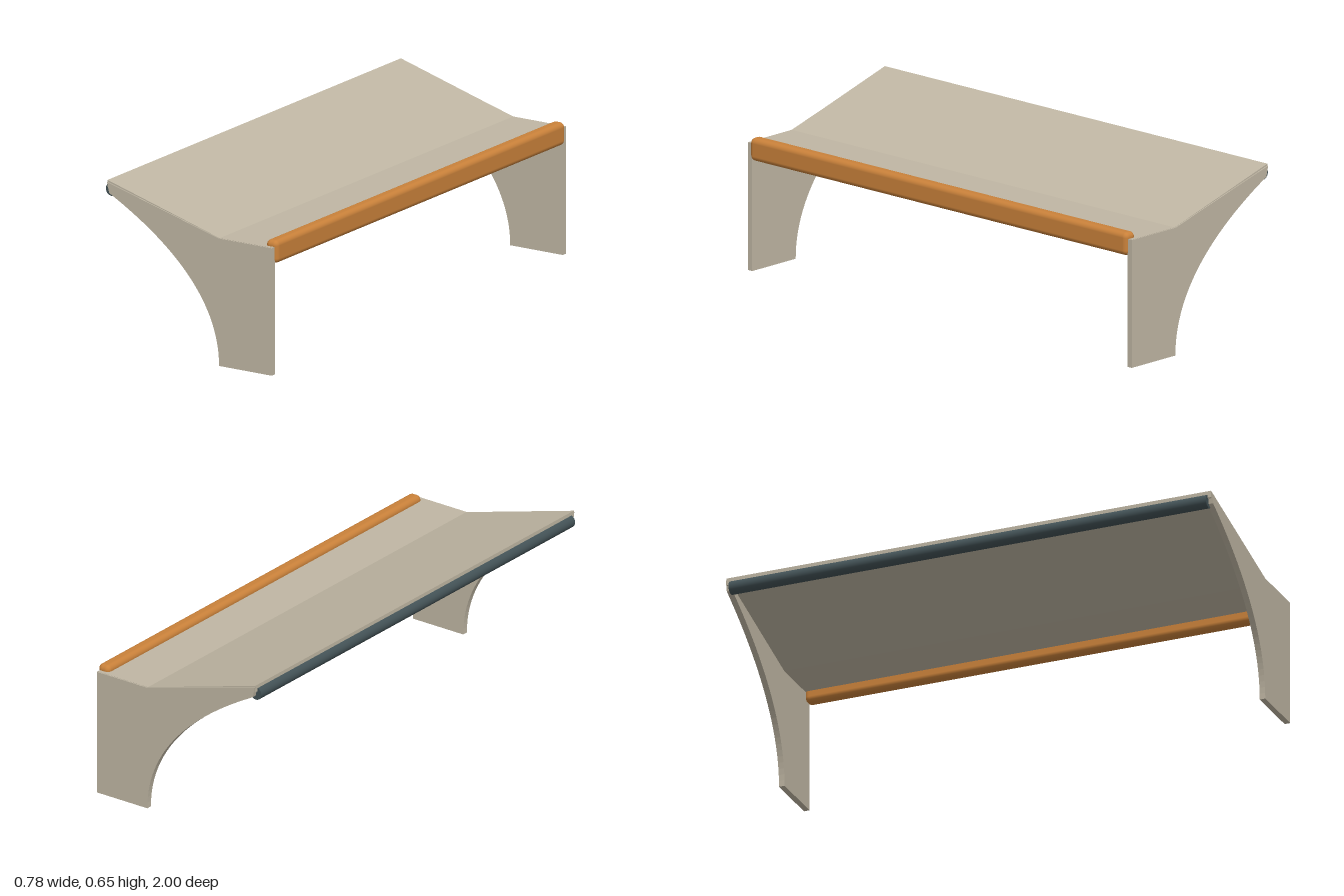
import * as THREE from 'three';
import { RoundedBoxGeometry } from 'three/addons/geometries/RoundedBoxGeometry.js';

const material = (color) => new THREE.MeshStandardMaterial({ color });

// Extrudes an x-y outline along z, from z to z + depth
function extrude(shape, z, depth) {
  const geometry = new THREE.ExtrudeGeometry(shape, { depth, bevelEnabled: false, curveSegments: 28 });
  return geometry.translate(0, 0, z);
}

export function createModel() {
  const group = new THREE.Group();
  const beige = material(0xbfb6a3);
  const add = (name, geometry, mat) => {
    const mesh = new THREE.Mesh(geometry, mat);
    mesh.name = name;
    group.add(mesh);
  };

  // End panels with an arched rear edge
  const panel = new THREE.Shape();
  panel.moveTo(0.137, 0);
  panel.lineTo(0.376, 0);
  panel.lineTo(0.376, 0.501);
  panel.lineTo(0.137, 0.501);
  panel.lineTo(-0.373, 0.642);
  panel.lineTo(-0.363, 0.6);
  panel.quadraticCurveTo(0.137, 0.335, 0.137, 0);
  add('leftEndPanel', extrude(panel, 0.977, 0.023), beige);
  add('rightEndPanel', extrude(panel, -1, 0.023), beige);

  // Bent top: level front strip and rising rear slope
  const top = new THREE.Shape([
    [0.376, 0.502], [0.137, 0.502], [-0.373, 0.649],
    [-0.373, 0.622], [0.134, 0.477], [0.376, 0.477],
  ].map(([x, y]) => new THREE.Vector2(x, y)));
  add('benchTop', extrude(top, -0.996, 1.992), beige);

  // Rounded front edge rail
  const rail = new RoundedBoxGeometry(0.054, 0.09, 1.964, 4, 0.02);
  add('frontRail', rail.translate(0.361, 0.48, 0), material(0xc9813a));

  // Round bar under the rear edge
  const bar = new THREE.CylinderGeometry(0.026, 0.026, 1.964, 32);
  add('rearBar', bar.rotateX(Math.PI / 2).translate(-0.364, 0.61, 0), material(0x435256));

  return group;
}
